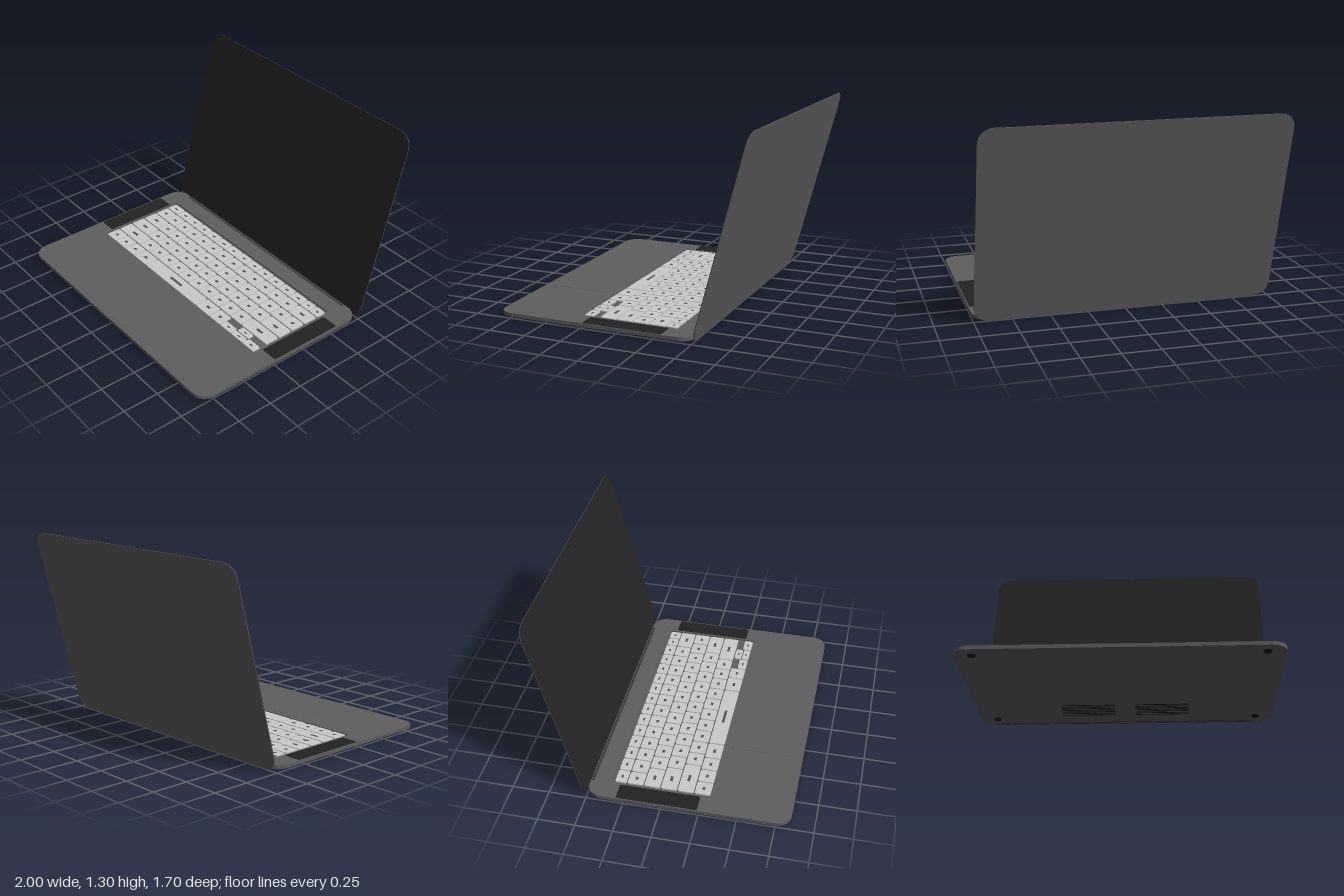
import * as THREE from 'three';

const mat = (name, color, side = THREE.FrontSide) => {
  const m = new THREE.MeshStandardMaterial({ color, side });
  m.name = name;
  return m;
};

// Rounded rectangle traced counter-clockwise, as a Shape or a hole Path
function roundRect(x0, x1, y0, y1, r, Type = THREE.Shape) {
  const s = new Type();
  s.moveTo(x0 + r, y0);
  s.lineTo(x1 - r, y0);
  s.absarc(x1 - r, y0 + r, r, -Math.PI / 2, 0);
  s.lineTo(x1, y1 - r);
  s.absarc(x1 - r, y1 - r, r, 0, Math.PI / 2);
  s.lineTo(x0 + r, y1);
  s.absarc(x0 + r, y1 - r, r, Math.PI / 2, Math.PI);
  s.lineTo(x0, y0 + r);
  s.absarc(x0 + r, y0 + r, r, Math.PI, Math.PI * 1.5);
  return s;
}

const extrude = (shape, depth, curveSegments) =>
  new THREE.ExtrudeGeometry(shape, { depth, bevelEnabled: false, curveSegments });

// Horizontal plate: shape (x, z) between heights bottom and top
const plate = (shape, bottom, top, seg = 10) =>
  extrude(shape, top - bottom, seg).rotateX(Math.PI / 2).translate(0, top, 0);

export function createModel() {
  const model = new THREE.Group();
  model.name = 'laptop';

  const body = mat('body grey', 0x5e5e5e);
  const keyMat = mat('key light grey', 0xcacaca);
  const labelMat = mat('label grey', 0x555555);
  const glass = mat('display black', 0x242424);
  const speakerMat = mat('speaker black', 0x222222);
  const dark = mat('rubber black', 0x161616);
  const hingeMat = mat('hinge grey', 0x3a3a3a);

  const add = (parent, name, geometry, material) => {
    const mesh = new THREE.Mesh(geometry, material);
    mesh.name = name;
    parent.add(mesh);
    return mesh;
  };

  // Base: solid lower shell and a deck with the keyboard well cut out
  const BOTTOM = 0.011, FLOOR = 0.026, TOP = 0.035;
  const base = new THREE.Group();
  base.name = 'base';
  model.add(base);
  add(base, 'lowerShell', plate(roundRect(-1, 1, -0.5, 0.845, 0.1), BOTTOM, FLOOR), body);
  const deck = roundRect(-1, 1, -0.5, 0.845, 0.1);
  deck.holes.push(roundRect(-0.857, 0.857, -0.36, 0.31, 0.015, THREE.Path));
  add(base, 'deck', plate(deck, FLOOR, TOP), body);
  add(base, 'trackpad', plate(roundRect(-0.37, 0.37, 0.36, 0.82, 0.01), TOP - 0.002, TOP + 0.001), body);

  // Speaker grilles, feet and underside vents, mirrored
  for (const s of [-1, 1]) {
    const x0 = s < 0 ? -0.993 : 0.87;
    add(base, 'speakerGrille', plate(roundRect(x0, x0 + 0.123, -0.3, 0.24, 0.012), TOP - 0.002, TOP + 0.001), speakerMat);
    for (const z of [-0.385, 0.755]) {
      const foot = add(base, 'foot', new THREE.CylinderGeometry(0.028, 0.022, 0.012, 20), dark);
      foot.position.set(s * 0.885, 0.006, z);
    }
    for (let i = 0; i < 7; i++) {
      const slot = add(base, 'ventSlot', new THREE.BoxGeometry(0.36, 0.002, 0.013), dark);
      slot.position.set(s * 0.25, BOTTOM, -0.335 + i * 0.032);
    }
  }

  // Keyboard: [front-to-back limits, key widths in units] for each row
  const keyboard = new THREE.Group();
  keyboard.name = 'keyboard';
  model.add(keyboard);
  const ones = (n) => Array(n).fill(1);
  const LEFT = -0.848, UNIT = 1.696 / 14.5, GAP = 0.004;
  const addKey = (x0, x1, z0, z1) => {
    add(keyboard, 'key', plate(roundRect(x0 + GAP, x1 - GAP, z0 + GAP, z1 - GAP, 0.01), FLOOR, TOP, 2), keyMat);
    const w = x1 - x0;
    const label = add(keyboard, 'keyLabel',
      new THREE.BoxGeometry(w * 0.22, 0.001, Math.min(0.02, (z1 - z0) * 0.16)), labelMat);
    label.position.set((x0 + x1) / 2, TOP + 0.0005, (z0 + z1) / 2);
  };
  const rows = [
    [-0.345, -0.262, [...ones(13), 0.75, 0.75]],
    [-0.262, -0.149, [...ones(13), 1.5]],
    [-0.149, -0.036, [1.5, ...ones(13)]],
    [-0.036, 0.077, [1.75, ...ones(11), 1.75]],
    [0.077, 0.19, [2.25, ...ones(10), 2.25]],
    [0.19, 0.303, [1, 1, 1, 1.25, 5, 1.25, 1]],
  ];
  for (const [z0, z1, widths] of rows) {
    let x = LEFT;
    for (const w of widths) {
      addKey(x, x + w * UNIT, z0, z1);
      x += w * UNIT;
    }
  }
  // Half-height arrow keys
  const arrowX = LEFT + 11.5 * UNIT;
  for (const [col, z0, z1] of [[0, 0.235, 0.303], [1, 0.19, 0.247], [1, 0.247, 0.303], [2, 0.235, 0.303]]) {
    addKey(arrowX + col * UNIT, arrowX + (col + 1) * UNIT, z0, z1);
  }

  // Hinge bar along the rear edge
  const hinge = add(model, 'hinge', new THREE.CylinderGeometry(0.014, 0.014, 1.73, 20).rotateZ(Math.PI / 2), hingeMat);
  hinge.position.set(0, 0.024, -0.486);

  // Lid, leaning back 15 degrees about its lower edge
  const lid = new THREE.Group();
  lid.name = 'lid';
  lid.position.set(0, 0.004, -0.499);
  lid.rotation.x = -Math.PI / 12;
  model.add(lid);
  const outline = roundRect(-1, 1, 0, 1.345, 0.1);
  add(lid, 'lidShell', extrude(outline, 0.004, 10).translate(0, 0, -0.003), body);
  add(lid, 'bezel', extrude(outline, 0.002, 10).translate(0, 0, 0.001), glass);
  add(lid, 'screen', extrude(roundRect(-0.95, 0.95, 0.15, 1.295, 0.03), 0.001, 6).translate(0, 0, 0.003), glass);
  const camera = add(lid, 'camera', new THREE.CircleGeometry(0.008, 16), dark);
  camera.position.set(0, 1.318, 0.0035);

  return model;
}
